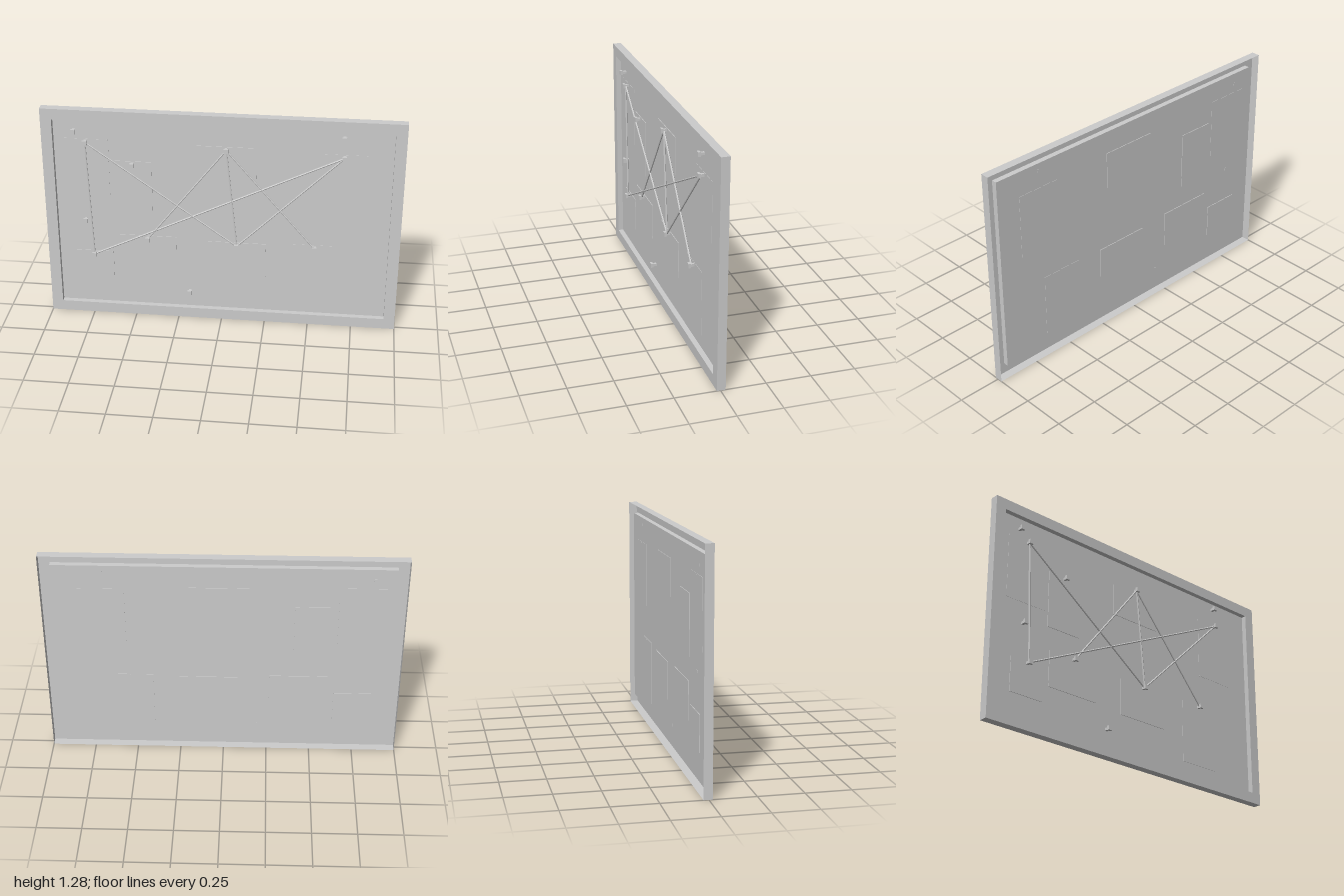
import * as THREE from 'three';

const W = 2, H = 1.285, MID = H / 2;
const FRONT = 0.02, BACK = -0.028, BOARD = -0.01;

export function createModel() {
  const group = new THREE.Group();
  const solid = new THREE.MeshStandardMaterial({ color: 0xcccccc, flatShading: true });
  const sheet = new THREE.MeshStandardMaterial({ color: 0xcccccc, flatShading: true, side: THREE.DoubleSide });

  function add(name, geometry, x, y, z, material = solid, parent = group) {
    const mesh = new THREE.Mesh(geometry, material);
    mesh.name = name;
    mesh.position.set(x, y, z);
    parent.add(mesh);
    return mesh;
  }

  // Four thin walls around a centred rectangle
  function addWalls(name, w, h, z0, z1) {
    const depth = z1 - z0, z = (z0 + z1) / 2;
    for (const s of [-1, 1]) {
      add(name, new THREE.PlaneGeometry(depth, h), s * w / 2, MID, z, sheet).rotation.y = s * Math.PI / 2;
      add(name, new THREE.PlaneGeometry(w, depth), 0, MID + s * h / 2, z, sheet).rotation.x = -s * Math.PI / 2;
    }
  }

  // Frame: front rim, outer skirt and recess walls, open at the back
  const iw = 1.875, ih = 1.16;
  const rim = new THREE.Shape([[-1, -1], [1, -1], [1, 1], [-1, 1]]
    .map(([x, y]) => new THREE.Vector2(x * W / 2, y * H / 2)));
  rim.holes.push(new THREE.Path([[-1, -1], [-1, 1], [1, 1], [1, -1]]
    .map(([x, y]) => new THREE.Vector2(x * iw / 2, y * ih / 2))));
  add('frameRim', new THREE.ShapeGeometry(rim), 0, MID, FRONT, sheet);
  addWalls('frameSkirt', W, H, BACK, FRONT);
  addWalls('recessWall', iw, ih, BOARD, FRONT);

  // Board
  add('board', new THREE.PlaneGeometry(iw, ih), 0, MID, BOARD, sheet);

  // Pins: x, y, and the size of the card they hold, if any
  const pins = {
    a: [-0.82, 1.155],
    b: [-0.76, 1.09, 0.255, 0.375],
    c: [-0.5, 0.965, 0.215, 0.335],
    d: [0.025, 1.08, 0.33, 0.215],
    e: [0.665, 1.18],
    f: [0.67, 1.065, 0.255, 0.375],
    g: [-0.775, 0.605],
    h: [-0.425, 0.5, 0.33, 0.215],
    i: [0.085, 0.485, 0.33, 0.215],
    j: [0.525, 0.495, 0.255, 0.375],
    k: [-0.735, 0.385, 0.215, 0.2],
    l: [-0.185, 0.165],
  };
  const head = new THREE.BoxGeometry(0.025, 0.025, 0.014);
  const neck = new THREE.BoxGeometry(0.015, 0.015, 0.026);
  for (const [x, y, w, h] of Object.values(pins)) {
    const pin = new THREE.Group();
    pin.name = 'pin';
    pin.position.set(x, y, 0);
    group.add(pin);
    add('pinHead', head, 0, 0, 0.02, solid, pin);
    add('pinNeck', neck, 0, 0, 0.001, solid, pin);
    // Card hanging from the pin
    if (w) {
      const t = h > 0.36 ? 0.003 : 0.007;
      add('card', new THREE.BoxGeometry(w, h, t), x, y + 0.013 - h / 2, BOARD);
    }
  }

  // Strings stretched between pins
  for (const [p, q] of ['bi', 'bk', 'dh', 'di', 'dj', 'fi', 'fk']) {
    const from = new THREE.Vector3(pins[p][0], pins[p][1], 0.008);
    const to = new THREE.Vector3(pins[q][0], pins[q][1], 0.008);
    const dir = to.clone().sub(from);
    const c = from.clone().add(to).multiplyScalar(0.5);
    const string = add('string', new THREE.CylinderGeometry(0.005, 0.005, dir.length(), 6), c.x, c.y, c.z);
    string.quaternion.setFromUnitVectors(new THREE.Vector3(0, 1, 0), dir.normalize());
  }

  return group;
}
